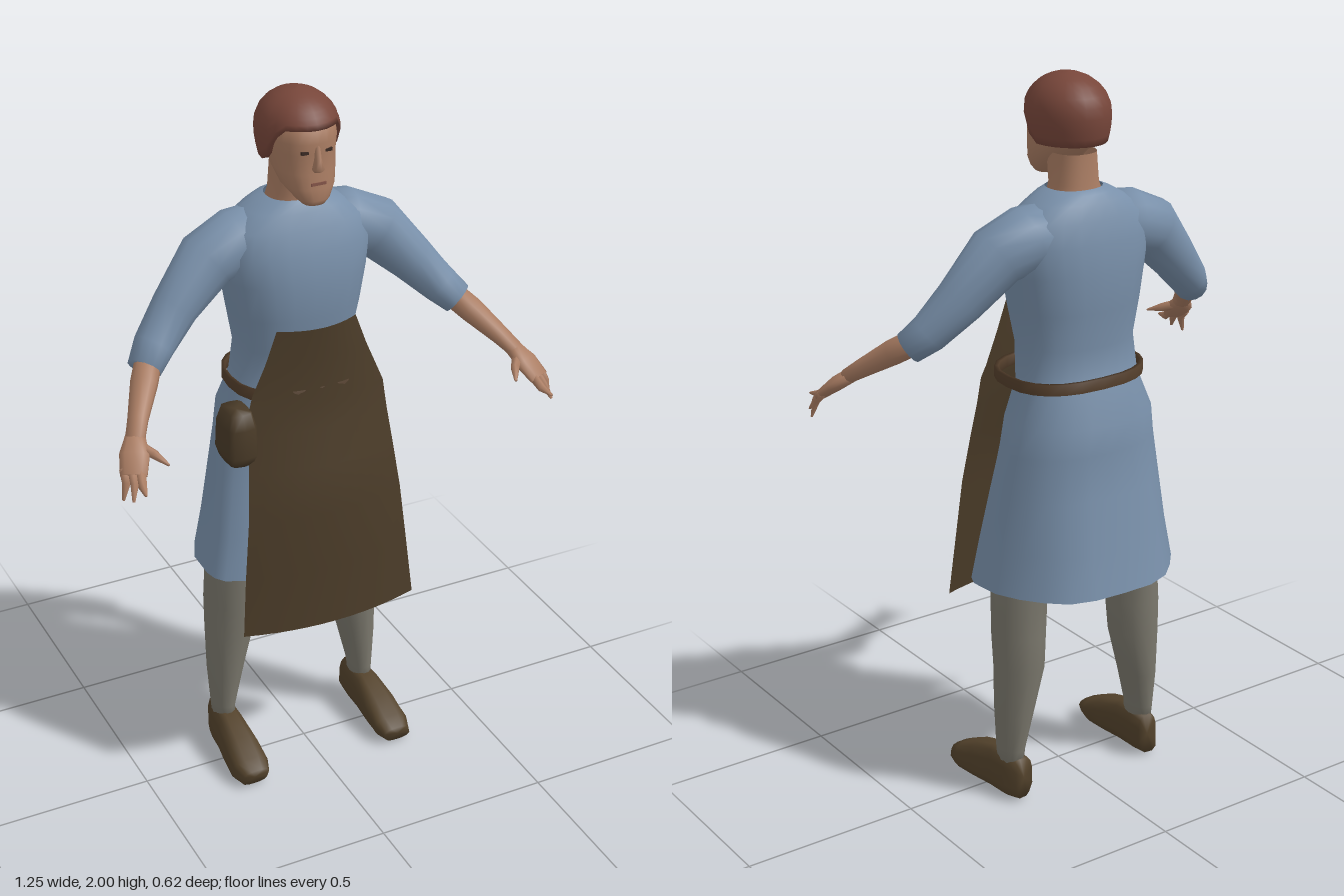
import * as THREE from 'three';

const mat = (name, color) => {
  const m = new THREE.MeshStandardMaterial({ color, side: THREE.DoubleSide });
  m.name = name;
  return m;
};
const V = (x, y, z) => new THREE.Vector3(x, y, z);
const pw = (v, p) => Math.sign(v) * Math.abs(v) ** (2 / p);

// Skin a list of equal-length rings; closed rings wrap, caps fill the ends
function loft(rings, { wrap = true, caps = true } = {}) {
  const n = rings[0].length, pos = [], idx = [];
  rings.flat().forEach((v) => pos.push(v.x, v.y, v.z));
  const m = wrap ? n : n - 1;
  for (let r = 0; r < rings.length - 1; r++) {
    for (let i = 0; i < m; i++) {
      const a = r * n + i, b = r * n + ((i + 1) % n);
      idx.push(a, a + n, b, b, a + n, b + n);
    }
  }
  if (caps) {
    [0, rings.length - 1].forEach((r) => {
      const c = rings[r].reduce((s, v) => s.add(v), V(0, 0, 0)).divideScalar(n);
      const k = pos.length / 3;
      pos.push(c.x, c.y, c.z);
      for (let i = 0; i < n; i++) {
        const a = r * n + i, b = r * n + ((i + 1) % n);
        idx.push(...(r ? [k, b, a] : [k, a, b]));
      }
    });
  }
  const g = new THREE.BufferGeometry();
  g.setAttribute('position', new THREE.Float32BufferAttribute(pos, 3));
  g.setIndex(idx);
  g.computeVertexNormals();
  return g;
}

// Horizontal ring: height, half width, front z, back z, z of the widest point
function bodyRing(y, w, zf, zb, zc = (zf + zb) / 2, p = 2.3, n = 24) {
  return Array.from({ length: n }, (_, i) => {
    const a = (i / n) * Math.PI * 2, s = pw(Math.sin(a), p);
    return V(w * pw(Math.cos(a), p), y, zc + s * (s > 0 ? zf - zc : zc - zb));
  });
}

// Limb along points [x, y, z, radius up, radius across]
function limb(points, n = 10, p = 2) {
  const c = points.map((q) => V(q[0], q[1], q[2]));
  return loft(points.map((q, k) => {
    const t = c[Math.min(k + 1, c.length - 1)].clone().sub(c[Math.max(k - 1, 0)]).normalize();
    const u = V(0, 1, 0).addScaledVector(t, -t.y).normalize();
    const v = t.clone().cross(u);
    return Array.from({ length: n }, (_, i) => {
      const a = ((i + 0.5) / n) * Math.PI * 2;
      return c[k].clone().addScaledVector(u, q[3] * pw(Math.sin(a), p))
        .addScaledVector(v, q[4] * pw(Math.cos(a), p));
    });
  }));
}

export function createModel() {
  const root = new THREE.Group();
  const skin = mat('skin', 0xaa7d63), hair = mat('hair', 0x77463a), cloth = mat('blueCloth', 0x7990aa);
  const leather = mat('apronLeather', 0x4a3b28), strap = mat('beltLeather', 0x523d2a);
  const hose = mat('greyHose', 0x7b786d), shoeMat = mat('shoeLeather', 0x54432c);
  const dark = mat('eyeDark', 0x3a2a24), lip = mat('lips', 0x87574a);
  const add = (parent, name, geo, m, x = 0, y = 0, z = 0) => {
    const mesh = new THREE.Mesh(geo, m);
    mesh.name = name;
    mesh.position.set(x, y, z);
    parent.add(mesh);
    return mesh;
  };

  // Tunic, hem to collar, with a gently rippled skirt
  const tunic = [
    [0.64, 0.29, 0.09, -0.31, -0.02], [0.76, 0.268, 0.075, -0.285, -0.03],
    [0.9, 0.245, 0.055, -0.26, -0.05], [1.02, 0.225, 0.04, -0.238, -0.07],
    [1.1, 0.21, 0.035, -0.25, -0.07], [1.2, 0.175, 0.03, -0.195],
    [1.3, 0.165, 0.05, -0.19], [1.4, 0.182, 0.07, -0.205], [1.5, 0.2, 0.075, -0.207],
    [1.58, 0.215, 0.06, -0.2], [1.64, 0.195, 0.04, -0.185], [1.68, 0.135, 0.02, -0.168],
    [1.7, 0.1, 0.01, -0.155], [1.71, 0.075, 0, -0.135],
  ].map((r) => bodyRing(...r));
  tunic.slice(0, 3).forEach((ring, k) => ring.forEach((v, i) => {
    const f = 1 + 0.015 * (1 - k / 3) * Math.cos(i * 1.9);
    v.x *= f;
    v.z *= f;
  }));
  add(root, 'tunic', loft(tunic, { caps: false }), cloth);

  // Belt, a thin closed band
  add(root, 'belt', loft([
    [1.19, 0.2, 0.112, -0.208], [1.22, 0.2, 0.112, -0.208], [1.22, 0.19, 0.1, -0.197],
    [1.19, 0.19, 0.1, -0.197], [1.19, 0.2, 0.112, -0.208],
  ].map(([y, w, f, b]) => bodyRing(y, w, f, b, undefined, 2.5)), { caps: false }), strap);

  // Apron: rows of [y, half width, centre z, edge setback]
  const apron = [
    [1.39, 0.115, 0.108, 0.033], [1.3, 0.148, 0.108, 0.033], [1.215, 0.185, 0.112, 0.04],
    [1.18, 0.198, 0.118, 0.04], [1.1, 0.205, 0.125, 0.035], [1.0, 0.215, 0.155, 0.045],
    [0.87, 0.228, 0.178, 0.045], [0.7, 0.245, 0.185, 0.04], [0.53, 0.26, 0.2, 0.04],
  ].map(([y, w, z, d]) => Array.from({ length: 13 }, (_, i) => {
    const t = i / 6 - 1;
    return V(w * t, y, z - d * t * t);
  }));
  add(root, 'apron', loft(apron, { wrap: false, caps: false }), leather);

  // Pouch hanging at the right hip
  add(root, 'pouch', loft([
    [1.03, 0.035, 0.105, -0.005], [1.06, 0.045, 0.12, -0.01],
    [1.14, 0.042, 0.115, -0.005], [1.18, 0.032, 0.1, 0.01],
  ].map(([y, w, f, b]) => bodyRing(y, w, f, b, undefined, 4, 12))), leather, -0.225);

  // Head and neck
  const head = new THREE.Group();
  head.name = 'head';
  root.add(head);
  add(head, 'neck', loft([
    [1.67, 0.08, 0.0, -0.14], [1.72, 0.063, -0.005, -0.13], [1.8, 0.06, 0.01, -0.125],
  ].map((r) => bodyRing(...r)), { caps: false }), skin);
  add(head, 'face', loft([
    [1.725, 0.03, 0.082, 0.02], [1.74, 0.045, 0.09, 0], [1.77, 0.067, 0.088, -0.05],
    [1.81, 0.078, 0.083, -0.1], [1.86, 0.085, 0.078, -0.13], [1.89, 0.088, 0.083, -0.14],
    [1.93, 0.085, 0.073, -0.14], [1.97, 0.06, 0.03, -0.11],
  ].map((r) => bodyRing(...r))), skin);
  add(head, 'nose', loft([
    [1.815, 0.014, 0.088, 0.07], [1.825, 0.018, 0.107, 0.07],
    [1.85, 0.011, 0.096, 0.065], [1.885, 0.009, 0.084, 0.065],
  ].map(([y, w, f, b]) => bodyRing(y, w, f, b, b, 2, 8))), skin);
  add(head, 'mouth', new THREE.BoxGeometry(0.042, 0.008, 0.008), lip, 0, 1.785, 0.083);
  for (const s of [-1, 1]) {
    add(head, 'eye', new THREE.BoxGeometry(0.02, 0.008, 0.008), dark, s * 0.033, 1.868, 0.073);
  }

  // Hair cap: a dome with a high hairline in front, tucked under at the rim
  const rows = 9;
  const cap = Array.from({ length: rows + 2 }, (_, k) => Array.from({ length: 24 }, (_, i) => {
    const a = (i / 24) * Math.PI * 2, front = Math.sin(a);
    const end = 1.825 + 0.1 * THREE.MathUtils.smoothstep(front, 0.05, 0.75);
    const th = Math.acos((end - 1.9) / 0.1) * Math.min(k / rows, 1);
    let r = th < Math.PI / 2 ? Math.sin(th) : 1 - 0.16 * Math.cos(th) ** 2;
    if (k > rows) r *= 0.8;
    return V(0.107 * r * Math.cos(a), 1.9 + 0.1 * Math.cos(th), -0.04 + 0.126 * r * front);
  }));
  add(head, 'hair', loft(cap, { caps: false }), hair);

  // Arms and legs, mirrored
  for (const side of [1, -1]) {
    const half = new THREE.Group();
    half.name = side > 0 ? 'leftLimbs' : 'rightLimbs';
    half.scale.x = side;
    root.add(half);
    add(half, 'sleeve', limb([
      [0.09, 1.6, -0.08, 0.085, 0.09], [0.16, 1.592, -0.08, 0.088, 0.09],
      [0.245, 1.56, -0.072, 0.083, 0.08], [0.345, 1.455, -0.052, 0.066, 0.06],
      [0.42, 1.375, -0.02, 0.053, 0.055], [0.46, 1.335, 0.012, 0.045, 0.047],
    ], 14), cloth);
    add(half, 'forearm', limb([
      [0.435, 1.36, -0.01, 0.034, 0.036], [0.48, 1.315, 0.055, 0.034, 0.036],
      [0.53, 1.26, 0.13, 0.025, 0.027], [0.555, 1.23, 0.17, 0.02, 0.026],
    ]), skin);
    add(half, 'palm', limb([
      [0.55, 1.235, 0.16, 0.02, 0.026], [0.57, 1.205, 0.2, 0.02, 0.04],
      [0.59, 1.17, 0.24, 0.014, 0.036],
    ]), skin);
    [[0.622, 1.11, 0.245], [0.608, 1.12, 0.28], [0.587, 1.15, 0.312]].forEach((tip, i) => {
      add(half, 'finger', limb([
        [0.605 - i * 0.018, 1.18, 0.215 + i * 0.01, 0.013, 0.014],
        [0.61 - i * 0.015, 1.155, 0.24 + i * 0.017, 0.012, 0.012],
        [...tip, 0.003, 0.004],
      ], 6), skin);
    });
    add(half, 'thumb', limb([
      [0.555, 1.22, 0.18, 0.015, 0.016], [0.525, 1.205, 0.22, 0.012, 0.013],
      [0.503, 1.19, 0.262, 0.003, 0.004],
    ], 6), skin);

    // Leg rings: [y, centre x, half width, front z, back z]
    add(half, 'leg', loft([
      [0.1, 0.222, 0.03, -0.03, -0.13], [0.15, 0.222, 0.033, -0.03, -0.135],
      [0.26, 0.212, 0.05, -0.02, -0.15], [0.4, 0.195, 0.069, -0.01, -0.165],
      [0.5, 0.193, 0.073, 0.0, -0.167], [0.64, 0.185, 0.075, 0.013, -0.165],
      [0.8, 0.155, 0.085, 0.02, -0.175], [0.98, 0.12, 0.09, 0.02, -0.175],
    ].map(([y, x, w, f, b]) => {
      const ring = bodyRing(y, w, f, b, undefined, 2, 14);
      ring.forEach((v) => { v.x += x; });
      return ring;
    })), hose);

    const shoe = limb([
      [0.215, 0.068, -0.138, 0.06, 0.03], [0.22, 0.067, -0.09, 0.067, 0.037],
      [0.222, 0.066, -0.03, 0.066, 0.04], [0.224, 0.053, 0.05, 0.053, 0.05],
      [0.226, 0.038, 0.115, 0.037, 0.053], [0.226, 0.032, 0.155, 0.024, 0.04],
    ], 12, 3);
    const p = shoe.attributes.position;
    for (let i = 0; i < p.count; i++) {
      const y = Math.max(p.getY(i), 0);
      p.setXYZ(i, p.getX(i) + (y < 0.04 ? 0.005 : 0), y, p.getZ(i));
    }
    shoe.computeVertexNormals();
    add(half, 'shoe', shoe, shoeMat);
  }
  return root;
}
